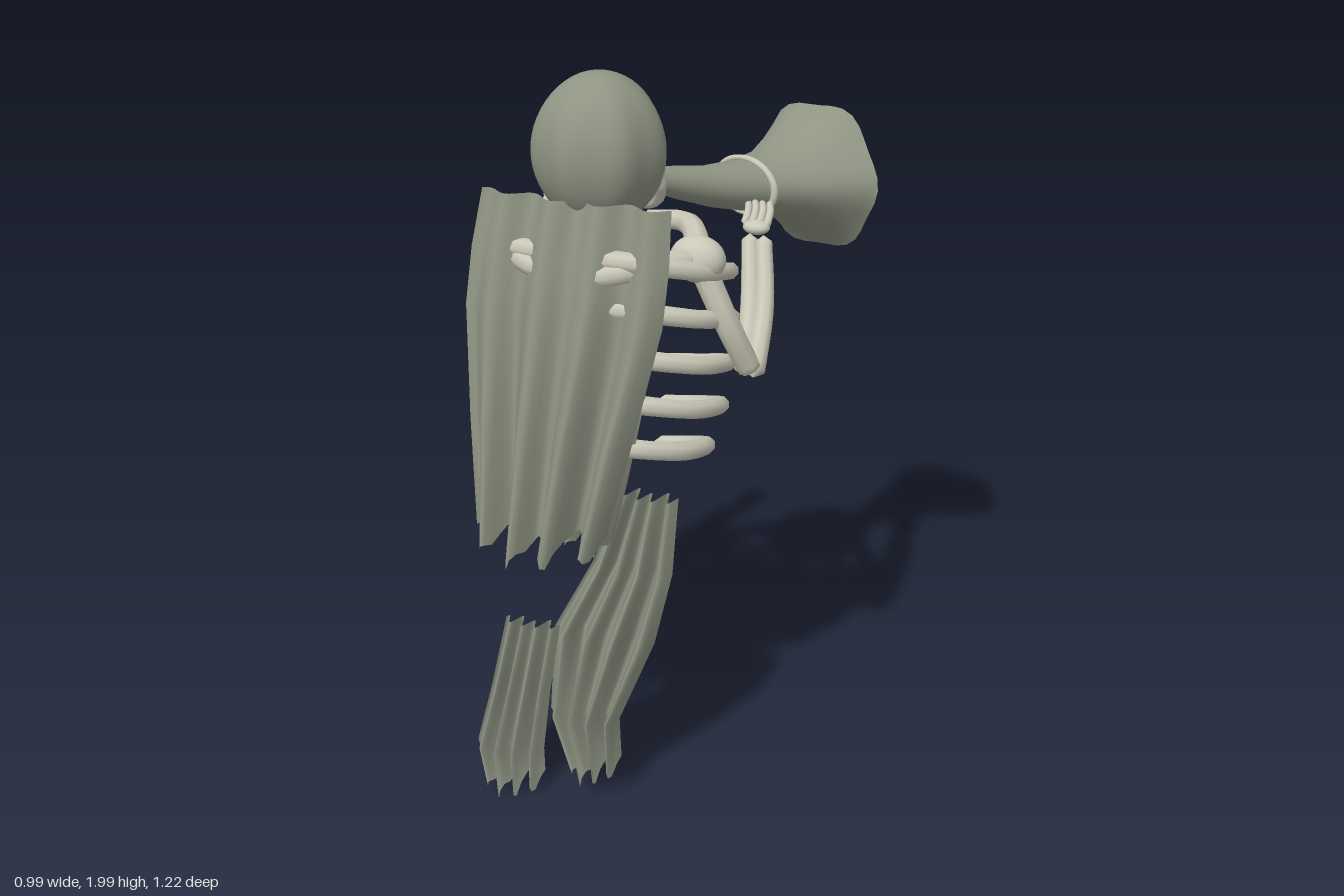
import * as THREE from 'three';
import { mergeVertices } from 'three/addons/utils/BufferGeometryUtils.js';

const CX = -0.06; // the skeleton's own middle line
const boneMat = new THREE.MeshStandardMaterial({ color: 0xcac8b8 });
boneMat.name = 'bone';
const clothMat = new THREE.MeshStandardMaterial({ color: 0x8f9483, side: THREE.DoubleSide });
clothMat.name = 'grey cloth';

function mesh(name, geometry, material) {
  const m = new THREE.Mesh(geometry, material);
  m.name = name;
  return m;
}

// Rebuild smooth normals without a seam
function smooth(g) {
  g.deleteAttribute('uv');
  g.deleteAttribute('normal');
  const merged = mergeVertices(g);
  merged.computeVertexNormals();
  return merged;
}

// Tapering bone along a curve, with closed ends
function bone(name, points, r0, r1, segs = 20) {
  const path = new THREE.CatmullRomCurve3(points.map((p) => new THREE.Vector3(...p)));
  const g = new THREE.TubeGeometry(path, segs, 1, 8, false);
  const pos = g.attributes.position, v = new THREE.Vector3();
  for (let i = 0; i <= segs; i++) {
    const t = i / segs, c = path.getPointAt(t);
    const r = i === 0 || i === segs ? 0.0005 : r0 + (r1 - r0) * t;
    for (let j = 0; j <= 8; j++) {
      const k = i * 9 + j;
      v.fromBufferAttribute(pos, k).sub(c).multiplyScalar(r).add(c);
      pos.setXYZ(k, v.x, v.y, v.z);
    }
  }
  return mesh(name, smooth(g), boneMat);
}

function ellipsoid(name, x, y, z, rx, ry, rz, material) {
  const m = mesh(name, new THREE.SphereGeometry(1, 24, 16), material);
  m.position.set(x, y, z);
  m.scale.set(rx, ry, rz);
  return m;
}

// Pleated hanging cloth; rows are [xLeft, xRight, y, zLeft, zRight, foldDepth, bow]
function cloth(name, rows, folds, tatter) {
  const cols = folds * 10, n = rows.length - 1;
  const g = new THREE.PlaneGeometry(1, 1, cols, n);
  const pos = g.attributes.position;
  rows.forEach(([xl, xr, y, zl, zr, depth, bow = 0], i) => {
    for (let j = 0; j <= cols; j++) {
      const u = j / cols, a = u * folds * Math.PI * 2;
      const wave = Math.cos(a + 2.4) * 0.75 + Math.cos(a * 0.41 + 1) * 0.25;
      const jag = i === n ? tatter * (0.5 + 0.5 * wave) * (0.75 + 0.25 * Math.sin(j * 1.7)) : 0;
      pos.setXYZ(i * (cols + 1) + j, xl + (xr - xl) * u, y - jag,
        zl + (zr - zl) * u + wave * depth + bow * 4 * u * (1 - u));
    }
  });
  g.computeVertexNormals();
  return mesh(name, g, clothMat);
}

function makeHead() {
  const head = new THREE.Group();
  head.name = 'head';
  // Lobed hood, cut flat where the face shows
  const g = new THREE.SphereGeometry(1, 48, 28);
  const pos = g.attributes.position;
  for (let i = 0; i < pos.count; i++) {
    const x = pos.getX(i), y = pos.getY(i), z = pos.getZ(i);
    const lobe = 1 + 0.035 * Math.cos(7 * Math.atan2(z, x) + 0.8) * (1 - y * y);
    const wy = 1.8 + y * 0.2;
    const cut = 0.1 - 0.08 * THREE.MathUtils.smoothstep(wy, 1.8, 1.89);
    pos.setXYZ(i, -0.05 + x * 0.17 * lobe, wy, Math.max(0.205 + z * 0.17 * lobe, cut));
  }
  head.add(mesh('hood', smooth(g), clothMat));
  head.add(ellipsoid('face', -0.05, 1.74, 0.095, 0.128, 0.14, 0.112, boneMat));
  head.add(ellipsoid('nose', -0.05, 1.745, -0.008, 0.018, 0.035, 0.014, boneMat));
  for (const s of [-1, 1]) {
    const eye = ellipsoid('eye', -0.05 + s * 0.052, 1.79, 0.0, 0.032, 0.012, 0.014, clothMat);
    eye.rotation.z = s * 0.15;
    head.add(eye);
  }
  // Jaw bar under the face
  head.add(bone('jaw', [[-0.16, 1.7, 0.07], [-0.12, 1.62, 0.01], [-0.05, 1.6, -0.015],
    [0.02, 1.62, 0.01], [0.06, 1.7, 0.07]], 0.018, 0.018));
  return head;
}

function makeHorn() {
  const horn = new THREE.Group();
  horn.name = 'horn';
  // Cross-sections: centre, half width, half height
  const rings = [
    [-0.005, 1.668, -0.01, 0.034, 0.034], [0.04, 1.645, -0.08, 0.048, 0.046],
    [0.095, 1.614, -0.18, 0.07, 0.058], [0.155, 1.592, -0.3, 0.1, 0.073],
    [0.21, 1.578, -0.4, 0.135, 0.1], [0.25, 1.577, -0.47, 0.175, 0.145],
    [0.275, 1.577, -0.515, 0.2, 0.188], [0.287, 1.577, -0.53, 0.212, 0.21]];
  const n = 36;
  const g = new THREE.CylinderGeometry(1, 1, 1, n, rings.length - 1, true);
  const pos = g.attributes.position;
  rings.forEach(([cx, cy, cz, w, h], i) => {
    const flare = Math.max(0, (i - 3) / 4);
    for (let j = 0; j <= n; j++) {
      const a = (j / n) * Math.PI * 2;
      const k = 1 + 0.04 * flare * Math.cos(6 * a - 0.3);
      const out = 0.012 * flare * Math.cos(3 * a);
      const c = Math.cos(a) * w * k;
      pos.setXYZ(i * (n + 1) + j, cx + c * 0.94, cy + Math.sin(a) * h * k, cz + c * 0.34 + out);
    }
  });
  horn.add(mesh('hornBell', smooth(g), clothMat));
  const band = mesh('hornBand', new THREE.TorusGeometry(1, 0.1, 8, 36), boneMat);
  band.position.set(0.155, 1.592, -0.3);
  band.rotation.y = -Math.atan2(0.34, 0.94);
  band.scale.set(0.106, 0.078, 0.1);
  horn.add(band);
  return horn;
}

function makeSide(s) {
  const side = new THREE.Group();
  side.name = s > 0 ? 'leftSide' : 'rightSide';
  const P = (x, y, z) => [CX + s * x, y, z];

  // Ribs, sloping down toward the tips
  [1, 1.02, 1, 0.94, 0.82].forEach((w, i) => {
    const y = 1.555 - i * 0.128;
    side.add(bone('rib', [P(0.02, y - 0.01, 0.33), P(0.09 * w, y + 0.005, 0.355), P(0.2 * w, y, 0.335),
      P(0.31 * w, y - 0.035, 0.23), P(0.33 * w, y - 0.07, 0.1), P(0.265 * w, y - 0.115, -0.005),
      P(0.16 * w, y - 0.15, -0.058), P(0.06 * w, y - 0.16, -0.05)], 0.03, 0.018, 32));
  });

  // Shoulder, collarbone and shoulder blade
  side.add(ellipsoid('shoulder', CX + s * 0.28, 1.54, 0.195, 0.075, 0.062, 0.055, boneMat));
  side.add(bone('collarbone', [P(0.27, 1.55, 0.17), P(0.22, 1.575, 0.08), P(0.16, 1.575, 0.02),
    P(0.04, 1.56, 0.0)], 0.035, 0.024));
  side.add(bone('shoulderBlade', [P(0.28, 1.54, 0.21), P(0.21, 1.545, 0.3), P(0.1, 1.525, 0.372),
    P(0.03, 1.51, 0.35)], 0.035, 0.028));

  // Arm with a double-boned forearm
  side.add(bone('upperArm', [P(0.29, 1.52, 0.19), P(0.36, 1.36, 0.175), P(0.405, 1.22, 0.12)], 0.036, 0.032));
  for (const d of [-0.018, 0.022]) {
    side.add(bone('forearm', [P(0.4 + d * 0.6, 1.21, 0.13), P(0.365 + d, 1.355, -0.01),
      P(0.31 + d, 1.51, -0.14)], 0.031, 0.023));
  }
  side.add(ellipsoid('palm', CX + s * 0.305, 1.525, -0.155, 0.038, 0.02, 0.03, boneMat));
  for (let f = 0; f < 4; f++) {
    const x = 0.335 - f * 0.021;
    side.add(bone('finger', [P(x, 1.53, -0.15), P(x - 0.008, 1.56, -0.2), P(x - 0.025, 1.575, -0.235)], 0.012, 0.009, 10));
  }
  return side;
}

export function createModel() {
  const model = new THREE.Group();
  model.name = 'hornBlower';
  model.add(makeHead(), makeHorn(), makeSide(1), makeSide(-1));

  // Spine and neck
  model.add(bone('spine', [[CX, 0.95, 0.325], [CX, 1.25, 0.335], [CX, 1.5, 0.32], [CX, 1.68, 0.24]], 0.04, 0.045));
  for (let i = 0; i < 6; i++) {
    model.add(ellipsoid('vertebra', CX, 0.99 + i * 0.115, 0.33, 0.05, 0.035, 0.035, boneMat));
  }

  // Cape and its inner layer
  model.add(cloth('cape', [
    [-0.325, 0.2, 1.7, 0.34, 0.33, 0.025, 0.01], [-0.345, 0.205, 1.55, 0.37, 0.355, 0.022, 0.025],
    [-0.353, 0.195, 1.4, 0.4, 0.375, 0.028, 0.035], [-0.325, 0.13, 1.1, 0.46, 0.42, 0.05, 0.035],
    [-0.29, 0.07, 0.83, 0.52, 0.475, 0.075, 0.035]], 4, 0.08));
  model.add(cloth('innerCape', [
    [-0.1, 0.15, 1.65, 0.33, 0.32, 0.01], [-0.11, 0.14, 1.2, 0.37, 0.35, 0.025],
    [-0.11, 0.09, 0.95, 0.385, 0.36, 0.04], [-0.11, 0.05, 0.8, 0.395, 0.37, 0.045]], 2, 0.07));

  // Torn leg wrappings
  model.add(cloth('longLegCloth', [
    [0.03, 0.195, 0.88, 0.275, 0.27, 0.04], [-0.025, 0.205, 0.68, 0.345, 0.335, 0.046],
    [-0.12, 0.17, 0.48, 0.4, 0.375, 0.05], [-0.11, 0.088, 0.25, 0.455, 0.43, 0.055],
    [-0.03, 0.1, 0.15, 0.48, 0.45, 0.065]], 4, 0.08));
  model.add(cloth('shortLegCloth', [
    [-0.25, -0.095, 0.5, 0.43, 0.41, 0.03], [-0.28, -0.11, 0.3, 0.475, 0.455, 0.04],
    [-0.31, -0.12, 0.13, 0.52, 0.485, 0.05], [-0.27, -0.11, 0.08, 0.54, 0.505, 0.06]], 4, 0.08));
  return model;
}
